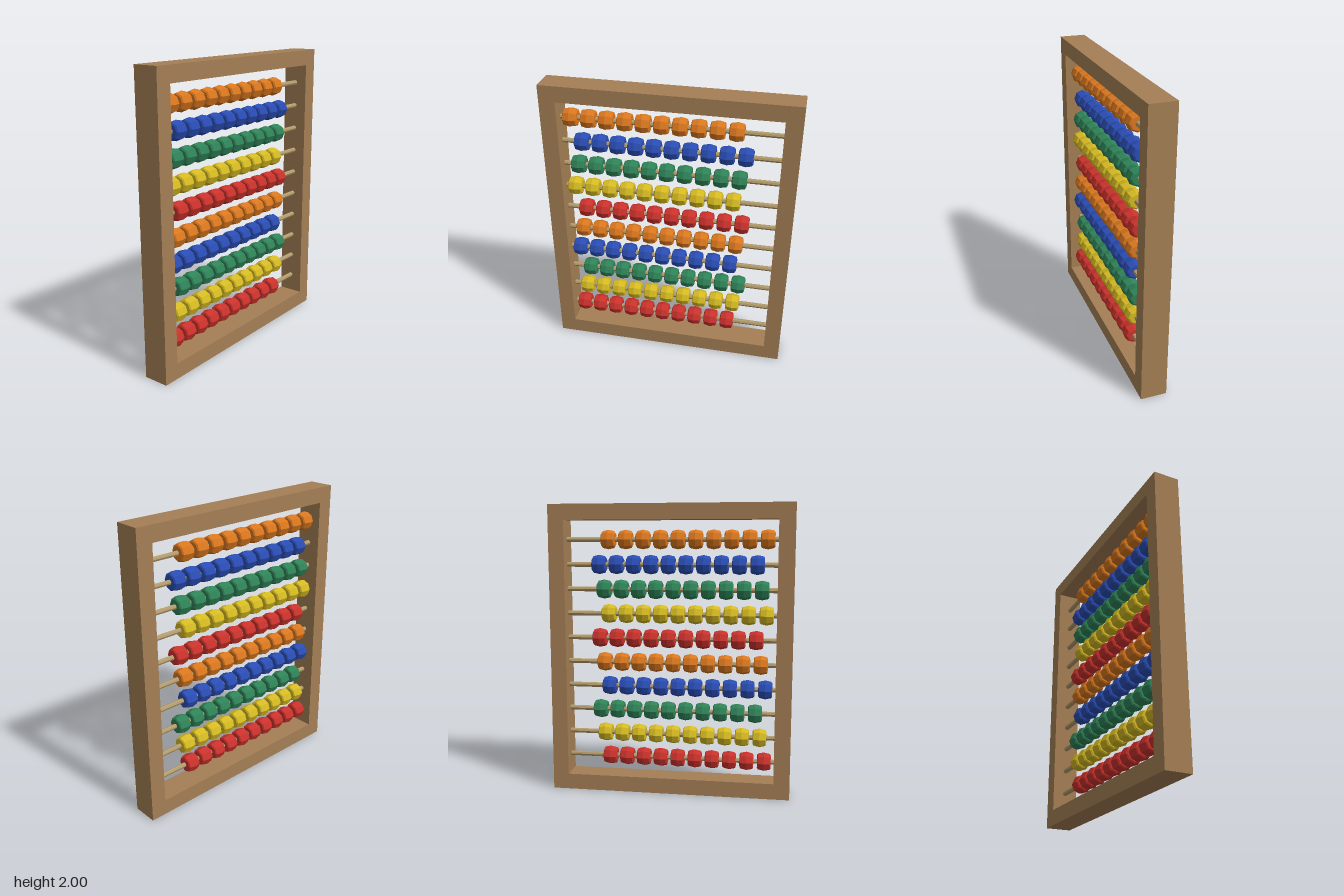
import * as THREE from 'three';

const paint = (name, color) => {
  const material = new THREE.MeshStandardMaterial({ color, flatShading: true });
  material.name = name;
  return material;
};

// Rectangle outline from its half width and its bottom and top heights
function rectangle(PathType, halfWidth, bottom, top) {
  const path = new PathType();
  path.moveTo(-halfWidth, bottom);
  path.lineTo(halfWidth, bottom);
  path.lineTo(halfWidth, top);
  path.lineTo(-halfWidth, top);
  path.closePath();
  return path;
}

export function createModel() {
  const model = new THREE.Group();
  model.name = 'abacus';

  const wood = paint('frame wood', 0xa57f55);
  const rodWood = paint('rod wood', 0xb39b6b);
  const beadColors = [
    paint('red', 0xcb322c),
    paint('yellow', 0xd6bb22),
    paint('green', 0x2f8358),
    paint('blue', 0x2a4db4),
    paint('orange', 0xdb781f),
  ];

  // Wooden frame with one open window
  const depth = 0.178;
  const outline = rectangle(THREE.Shape, 0.833, 0, 2);
  outline.holes.push(rectangle(THREE.Path, 0.724, 0.109, 1.893));
  const frameGeometry = new THREE.ExtrudeGeometry(outline, { depth, bevelEnabled: false });
  frameGeometry.translate(0, 0, -depth / 2);
  const frame = new THREE.Mesh(frameGeometry, wood);
  frame.name = 'frame';
  model.add(frame);

  // Eight-sided rod and barrel bead, both lying along x
  const rodGeometry = new THREE.CylinderGeometry(0.017, 0.017, 1.46, 8).rotateZ(Math.PI / 2);
  const beadProfile = [
    [0.012, -0.047], [0.046, -0.047], [0.057, -0.041], [0.066, 0],
    [0.057, 0.041], [0.046, 0.047], [0.012, 0.047],
  ].map(([r, y]) => new THREE.Vector2(r, y));
  const beadGeometry = new THREE.LatheGeometry(beadProfile, 8).rotateZ(Math.PI / 2);

  // Ten rows of ten beads, each row slid along by a repeating step
  for (let i = 0; i < 10; i++) {
    const row = new THREE.Group();
    row.name = `row${i + 1}`;
    row.position.y = 0.238 + i * 0.1693;

    const rod = new THREE.Mesh(rodGeometry, rodWood);
    rod.name = 'rod';
    row.add(rod);

    for (let j = 0; j < 10; j++) {
      const bead = new THREE.Mesh(beadGeometry, beadColors[i % 5]);
      bead.name = 'bead';
      bead.position.x = -0.655 + (i % 3) * 0.0335 + j * 0.1206;
      row.add(bead);
    }
    model.add(row);
  }
  return model;
}
